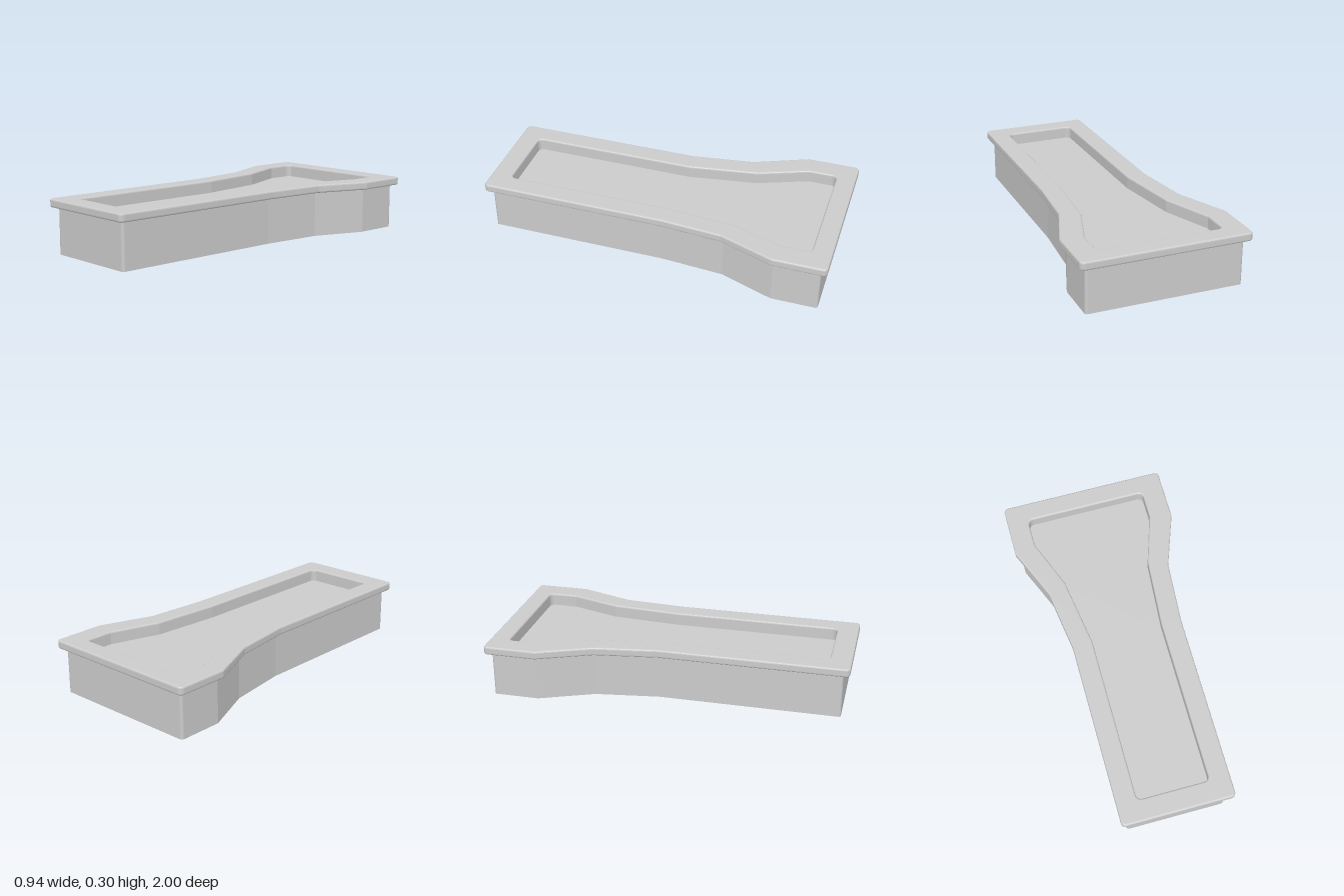
import * as THREE from 'three';

// Plan corners as [x, z, corner radius], running along the front edge towards +x
const OUTER = [
  [-0.295, 1, 0.025], [0.34, 1, 0.025], [0.34, -0.05, 0], [0.365, -0.4, 0], [0.472, -0.7, 0],
  [0.472, -1, 0.025], [-0.472, -1, 0.025], [-0.472, -0.7, 0], [-0.345, -0.4, 0], [-0.295, -0.05, 0],
];
const INNER = [
  [-0.18, 0.88, 0.03], [0.225, 0.88, 0.03], [0.225, -0.06, 0], [0.255, -0.45, 0], [0.345, -0.73, 0],
  [0.345, -0.89, 0.03], [-0.35, -0.89, 0.03], [-0.35, -0.73, 0], [-0.24, -0.45, 0], [-0.18, -0.06, 0],
];
const TOP = 0.304, RIM_BASE = 0.257, FLOOR = 0.232, BEVEL = 0.01, STEPS = 6;

// Outline moved inwards by inset, with its square corners rounded
function outline(corners, inset = 0) {
  const n = corners.length, out = [];
  const at = (i) => new THREE.Vector2(corners[(i + n) % n][0], corners[(i + n) % n][1]);
  for (let i = 0; i < n; i++) {
    const d1 = at(i).sub(at(i - 1)).normalize(), d2 = at(i + 1).sub(at(i)).normalize();
    const mitre = new THREE.Vector2(d1.y + d2.y, -d1.x - d2.x).multiplyScalar(inset / (1 + d1.dot(d2)));
    const p = at(i).add(mitre);
    if (!corners[i][2]) { out.push(p); continue; }
    const r = Math.max(corners[i][2] - inset, 0.015);
    const centre = p.clone().addScaledVector(d1, -r).addScaledVector(d2, r);
    for (let k = 0; k <= STEPS; k++) {
      const a = (k / STEPS) * Math.PI / 2;
      out.push(centre.clone().addScaledVector(d2, -r * Math.cos(a)).addScaledVector(d1, r * Math.sin(a)));
    }
  }
  return out;
}

// Skin through closed rings given as [outline, y]
function loft(rings) {
  const pos = [];
  for (let i = 0; i < rings.length - 1; i++) {
    const [lo, y0] = rings[i], [hi, y1] = rings[i + 1];
    for (let j = 0; j < lo.length; j++) {
      const k = (j + 1) % lo.length;
      const a = [lo[j].x, y0, lo[j].y], b = [lo[k].x, y0, lo[k].y];
      const c = [hi[k].x, y1, hi[k].y], d = [hi[j].x, y1, hi[j].y];
      pos.push(...a, ...b, ...c, ...a, ...c, ...d);
    }
  }
  const geo = new THREE.BufferGeometry();
  geo.setAttribute('position', new THREE.Float32BufferAttribute(pos, 3));
  geo.computeVertexNormals();
  return geo;
}

export function createModel() {
  const model = new THREE.Group();
  model.name = 'trough';
  const material = new THREE.MeshStandardMaterial({ color: 0xcccccc, flatShading: true, side: THREE.DoubleSide });
  const add = (name, geo) => {
    const mesh = new THREE.Mesh(geo, material);
    mesh.name = name;
    model.add(mesh);
    return mesh;
  };

  // Thin outer wall, open underneath
  const wall = outline(OUTER, 0.036);
  add('outerWall', loft([[wall, 0], [wall, RIM_BASE]]));

  // Overhanging rim: underside, rounded outer edge, top, rounded inner edge, basin side
  const rings = [[outline(INNER), RIM_BASE]];
  const arc = (corners, y, from, sign) => {
    for (let k = 0; k <= 3; k++) {
      const a = from + (k / 3) * Math.PI / 2;
      rings.push([outline(corners, sign * BEVEL * (1 - Math.cos(a))), y + BEVEL * Math.sin(a)]);
    }
  };
  arc(OUTER, RIM_BASE + BEVEL, -Math.PI / 2, 1);
  arc(OUTER, TOP - BEVEL, 0, 1);
  for (let k = 3; k >= 0; k--) {
    const a = (k / 3) * Math.PI / 2;
    rings.push([outline(INNER, -BEVEL * (1 - Math.cos(a))), TOP - BEVEL + BEVEL * Math.sin(a)]);
  }
  rings.push([outline(INNER), FLOOR]);
  add('rim', loft(rings));

  // Recessed basin floor
  const shape = new THREE.Shape(outline(INNER).map((p) => new THREE.Vector2(p.x, -p.y)));
  add('basinFloor', new THREE.ShapeGeometry(shape).rotateX(-Math.PI / 2)).position.y = FLOOR;

  return model;
}
